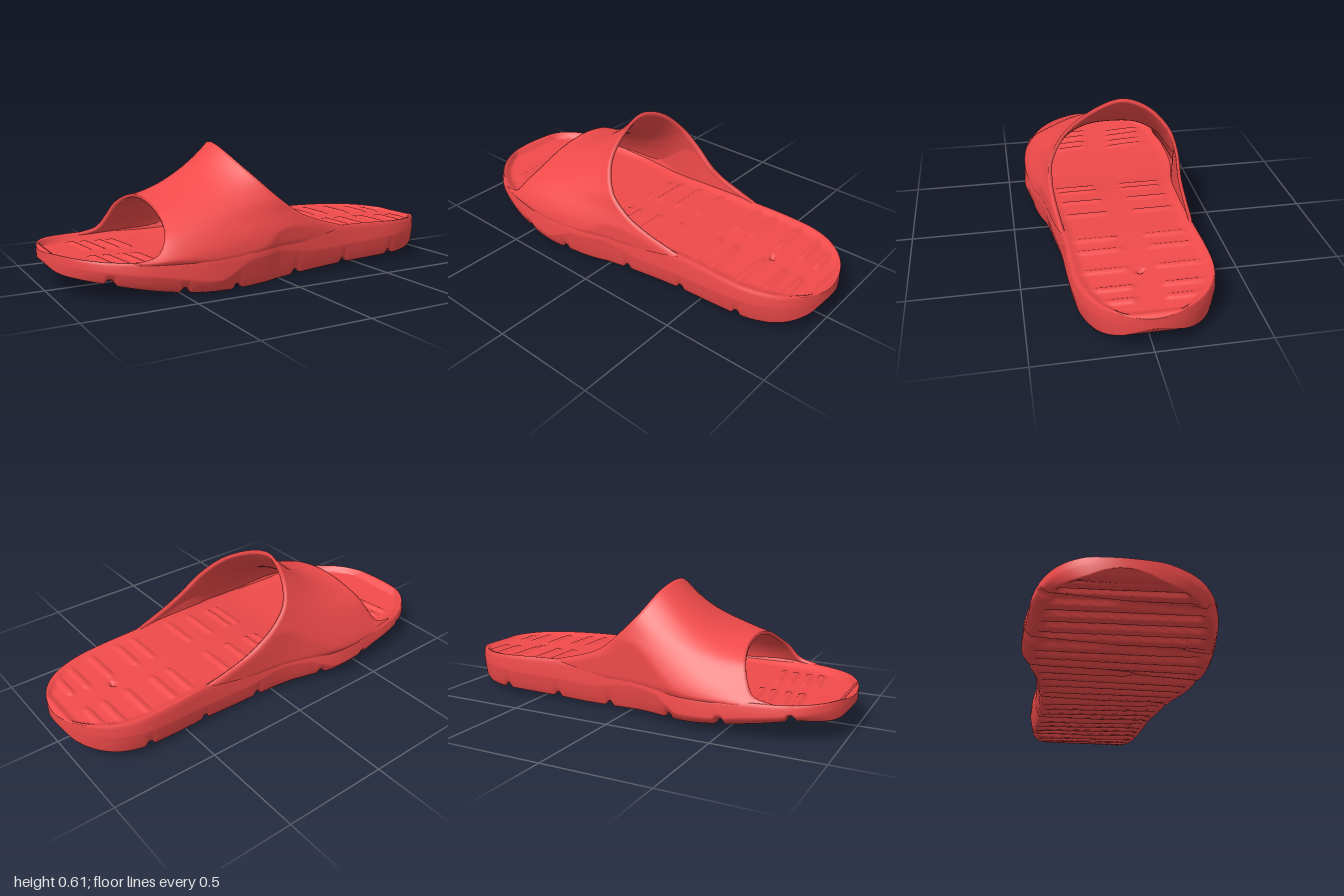
import * as THREE from 'three';

// Smooth interpolation through [x, value] pairs
function curve(...p) {
  const slope = p.map((q, i) => {
    const a = p[Math.max(i - 1, 0)], b = p[Math.min(i + 1, p.length - 1)];
    return (b[1] - a[1]) / (b[0] - a[0]);
  });
  return (x) => {
    let i = 0;
    while (i < p.length - 2 && x > p[i + 1][0]) i++;
    const w = p[i + 1][0] - p[i][0];
    const t = THREE.MathUtils.clamp((x - p[i][0]) / w, 0, 1), s = 1 - t;
    return p[i][1] * s * s * (1 + 2 * t) + p[i + 1][1] * t * t * (3 - 2 * t)
      + w * t * s * (slope[i] * s - slope[i + 1] * t);
  };
}

const smooth = THREE.MathUtils.smoothstep;

// Plan outline: centre line and half width along the length
const centre = curve([-1, -0.07], [-0.9, -0.045], [-0.8, -0.028], [-0.6, -0.008], [-0.3, 0.002],
  [-0.1, 0.015], [0, 0.01], [0.2, 0.003], [0.4, -0.005], [0.6, -0.012], [0.8, -0.014], [1, 0]);
const width = curve([-1, 0.41], [-0.6, 0.41], [-0.4, 0.419], [-0.3, 0.413], [-0.2, 0.395],
  [-0.1, 0.37], [0, 0.345], [0.2, 0.322], [0.4, 0.311], [0.6, 0.32], [0.75, 0.331], [1, 0.33]);
const half = (x) => width(x) * Math.sqrt(Math.max(0, 1 - Math.abs(x) ** (x < 0 ? 5.5 : 6)));

// Side profile: underside, rim and the crease along the side wall
const under = curve([-1, 0.13], [-0.97, 0.1], [-0.9, 0.083], [-0.8, 0.066], [-0.6, 0.03], [-0.4, 0.006],
  [-0.2, 0.001], [0, 0.003], [0.2, 0.013], [0.6, 0.026], [0.8, 0.032], [0.9, 0.048], [0.97, 0.08], [1, 0.12]);
const rim = curve([-1, 0.172], [-0.97, 0.18], [-0.8, 0.17], [-0.5, 0.165], [-0.2, 0.17], [0.1, 0.2],
  [0.4, 0.21], [0.7, 0.2], [0.97, 0.184], [1, 0.17]);
const crease = curve([-1, 0.15], [-0.6, 0.1], [-0.35, 0.06], [-0.25, 0.1], [-0.15, 0.15], [0, 0.14],
  [0.2, 0.11], [1, 0.14]);

const notches = [-0.8, -0.5, -0.25, 0.1, 0.4, 0.7];
const ribs = [-0.78, -0.72, -0.65, -0.59, -0.08, -0.02, 0.1, 0.23, 0.45, 0.54, 0.68, 0.8, 0.88];

// Underside with tread grooves and wider notches
function bottomY(x, w) {
  const z = centre(x) + w * half(x);
  const tilt = 0.035 * (1 - smooth(x, -0.2, 0.3)) * (0.4 - z) / 0.8 * smooth(x, -1, -0.8);
  const ends = smooth(1 - Math.abs(x), 0.03, 0.12);
  const wave = Math.sin((x + 0.1 * z) * 2 * Math.PI / 0.075);
  let cut = 0.022 * smooth(wave, -0.1, 0.6) * (1 - smooth(Math.abs(w), 0.78, 0.9));
  for (const n of notches) cut = Math.max(cut, 0.022 * (1 - smooth(Math.abs(x - n), 0.008, 0.026)));
  return under(x) + tilt + cut * ends;
}

// Sunken footbed with two rows of short ribs
function topY(x, w) {
  const h = half(x), z = centre(x) + w * h;
  const edge = Math.min((1 - Math.abs(w)) * h, 1 - Math.abs(x));
  let y = rim(x) - (x < 0 ? 0.03 - 0.014 * smooth(x, -0.4, 0) : 0.016) * smooth(edge, 0.015, 0.06);
  for (const r of ribs) for (const s of [-1, 1]) {
    const dz = Math.max(0, Math.abs(z - centre(x) - s * 0.16) - 0.085);
    const dx = x - r - (x < -0.5 ? 0.12 : 0) * (z - s * 0.16);
    y += 0.009 * (1 - smooth(Math.hypot(dx, dz), 0.004, 0.024)) * smooth(edge, 0.03, 0.07);
  }
  // small vent pit in the heel
  return y - 0.03 * Math.exp(-((x - 0.7) ** 2 + z * z) / 0.00012);
}

// Skin between closed loops of points
function loft(rows) {
  const n = rows[0].length, index = [];
  for (let i = 0; i < rows.length - 1; i++) for (let j = 0; j < n; j++) {
    const a = i * n + j, b = i * n + (j + 1) % n;
    index.push(a, a + n, b, b, a + n, b + n);
  }
  const g = new THREE.BufferGeometry().setFromPoints(rows.flat());
  g.setIndex(index);
  g.computeVertexNormals();
  return g;
}

function soleGeometry() {
  const rows = [], N = 340, M = 36;
  for (let i = 0; i <= N; i++) {
    const x = Math.sin((i / N - 0.5) * Math.PI), h = half(x), c = centre(x), row = [];
    const put = (w, y) => row.push(new THREE.Vector3(x, y, c + w * h));
    const wall = (s) => {
      const lo = bottomY(x, s * 0.92), hi = rim(x);
      const cy = THREE.MathUtils.clamp(crease(x), lo + 0.3 * (hi - lo), hi - 0.25 * (hi - lo));
      const pts = [[0.945, lo + 0.1 * (cy - lo)], [0.975, (lo + cy) / 2], [0.998, cy - 0.006], [1, cy + 0.004],
        [0.99, cy + 0.7 * (hi - cy)], [0.975, hi - 0.05 * (hi - cy)]];
      if (s < 0) pts.reverse();
      pts.forEach(([w, y]) => put(s * w, y));
    };
    for (let j = 0; j <= M; j++) { const w = (j / M * 2 - 1) * 0.92; put(w, bottomY(x, w)); }
    wall(1);
    for (let j = 0; j <= M; j++) { const w = (1 - j / M * 2) * 0.955; put(w, topY(x, w)); }
    wall(-1);
    rows.push(row);
  }
  return loft(rows);
}

// Strap: three arches (toe edge, middle, heel edge) blended into a shell
const arch = (pts) => new THREE.CatmullRomCurve3(pts.map((p) => new THREE.Vector3(...p)));
const toeEdge = arch([[-0.72, 0.165, 0.355], [-0.62, 0.19, 0.365], [-0.575, 0.25, 0.335], [-0.55, 0.3, 0.26],
  [-0.54, 0.36, 0.12], [-0.54, 0.385, -0.04], [-0.55, 0.365, -0.18], [-0.575, 0.31, -0.29],
  [-0.605, 0.24, -0.34], [-0.64, 0.19, -0.365], [-0.74, 0.165, -0.37]]);
const middle = arch([[-0.3, 0.12, 0.415], [-0.32, 0.2, 0.4], [-0.33, 0.27, 0.36], [-0.34, 0.34, 0.29],
  [-0.34, 0.42, 0.13], [-0.34, 0.445, -0.05], [-0.34, 0.425, -0.2], [-0.33, 0.36, -0.31],
  [-0.32, 0.28, -0.37], [-0.3, 0.2, -0.405], [-0.28, 0.12, -0.42]]);
const heelEdge = arch([[0.4, 0.205, 0.295], [0.2, 0.265, 0.315], [0.1, 0.31, 0.32], [0, 0.385, 0.305],
  [-0.1, 0.5, 0.2], [-0.15, 0.612, -0.06], [-0.12, 0.575, -0.2], [-0.06, 0.475, -0.3],
  [0.02, 0.39, -0.325], [0.15, 0.29, -0.315], [0.4, 0.21, -0.305]]);

function strapPoint(u, v) {
  const p = toeEdge.getPoint(u).multiplyScalar((1 - v) * (1 - 2 * v))
    .addScaledVector(middle.getPoint(u), 4 * v * (1 - v))
    .addScaledVector(heelEdge.getPoint(u), v * (2 * v - 1));
  // hug the sole outline and tuck the lower border into its wall
  const c = centre(p.x), h = half(p.x) * (0.965 + 0.04 * smooth(p.y, 0.12, 0.18));
  p.z = THREE.MathUtils.clamp(p.z, c - h, c + h);
  return p;
}

function strapGeometry() {
  const rows = [], U = 90, V = 36, e = 0.004;
  for (let i = 0; i <= U; i++) {
    const u = 1 - i / U, outer = [], inner = [];
    for (let j = 0; j <= V; j++) {
      const v = j / V, p = strapPoint(u, v);
      const du = strapPoint(Math.max(u - e, 0), v).sub(strapPoint(Math.min(u + e, 1), v));
      const dv = strapPoint(u, Math.min(v + e, 1)).sub(strapPoint(u, Math.max(v - e, 0)));
      const n = du.cross(dv).normalize();
      outer.push(p);
      inner.unshift(p.clone().addScaledVector(n, -0.016 - 0.014 * Math.sin(Math.PI * v)));
    }
    rows.push([...outer, ...inner]);
  }
  return loft(rows);
}

export function createModel() {
  const group = new THREE.Group();
  group.name = 'slideSandal';
  const red = new THREE.MeshStandardMaterial({ color: 0xf04a4a, side: THREE.DoubleSide });
  for (const [name, geometry] of [['sole', soleGeometry()], ['strap', strapGeometry()]]) {
    const mesh = new THREE.Mesh(geometry, red);
    mesh.name = name;
    group.add(mesh);
  }
  return group;
}
